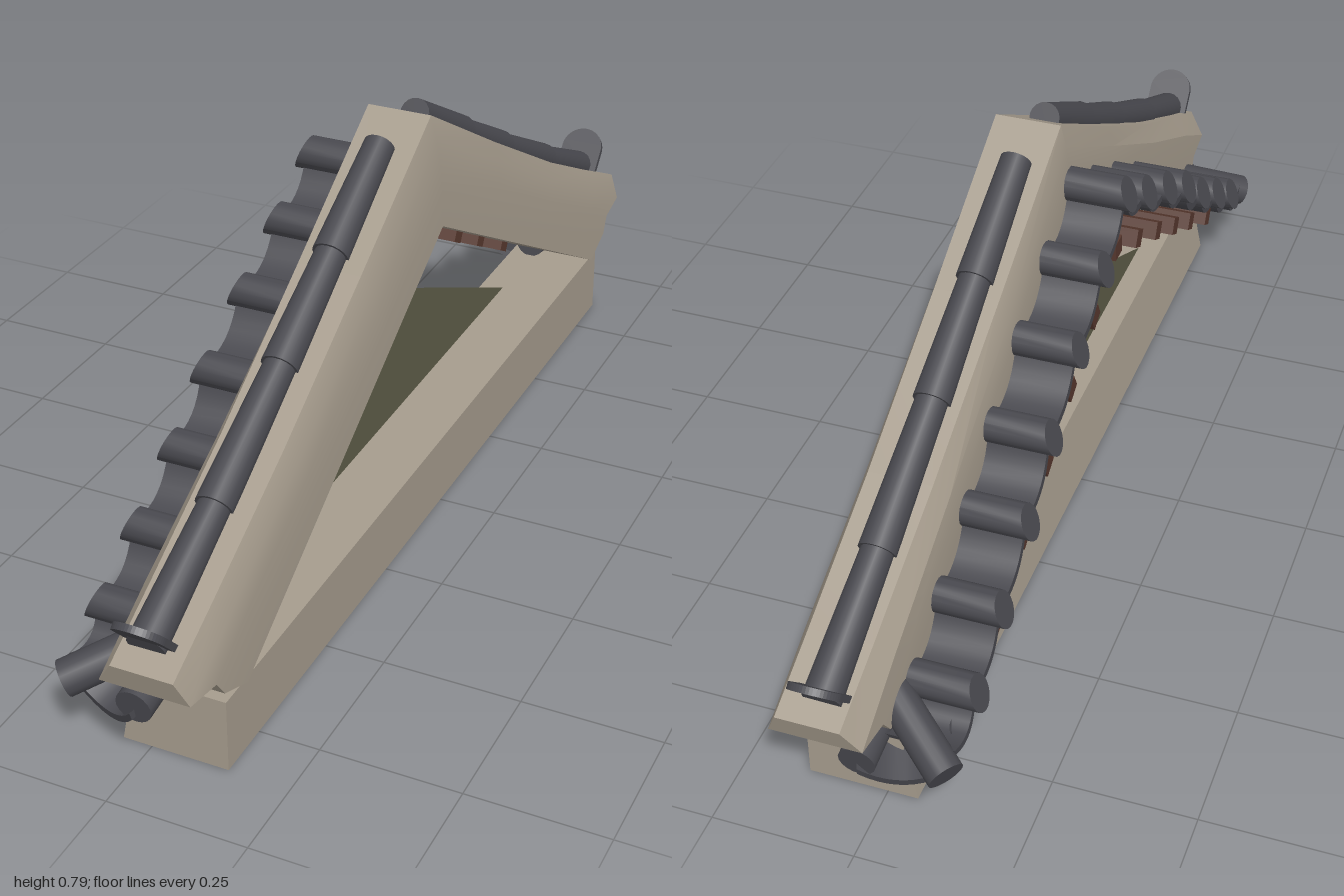
import * as THREE from 'three';
import { toCreasedNormals } from 'three/addons/utils/BufferGeometryUtils.js';

const mat = (name, color, side = THREE.FrontSide) =>
  Object.assign(new THREE.MeshStandardMaterial({ color, side }), { name });

export function createModel() {
  const plaster = mat('plaster', 0xa69c8d);
  const tile = mat('roof tile', 0x49494f);
  const wood = mat('rafter wood', 0x57382e);
  const panel = mat('gable panel', 0x5f5e49, THREE.DoubleSide);

  const model = new THREE.Group();
  model.name = 'gableRoof';
  const add = (name, geo, material) => {
    const mesh = new THREE.Mesh(geo, material);
    mesh.name = name;
    model.add(mesh);
    return mesh;
  };
  const V = (x, y, z) => new THREE.Vector3(x, y, z);
  const lerp = THREE.MathUtils.lerp;

  // Round bar from a to b
  const rod = (name, a, b, ra, rb = ra) => {
    const d = b.clone().sub(a);
    const mesh = add(name, new THREE.CylinderGeometry(rb, ra, d.length(), 18), tile);
    mesh.position.copy(a).add(b).multiplyScalar(0.5);
    mesh.quaternion.setFromUnitVectors(V(0, 1, 0), d.normalize());
    return mesh;
  };

  // Trough-shaped pan tile, extruded along local z
  const panGeometry = (w, sag, depth) => {
    const s = new THREE.Shape();
    s.moveTo(-w, 0);
    s.quadraticCurveTo(0, -2 * sag, w, 0);
    s.lineTo(w, 0.016);
    s.quadraticCurveTo(0, 0.016 - 2 * sag, -w, 0.016);
    const g = new THREE.ExtrudeGeometry(s, { depth, bevelEnabled: false, curveSegments: 10 });
    return toCreasedNormals(g, 0.6);
  };

  // Base beam with a battered outer face
  const baseShape = new THREE.Shape([[-0.053, 0], [0.14, 0], [0.14, 0.135], [-0.026, 0.135]]
    .map(p => new THREE.Vector2(...p)));
  const base = new THREE.ExtrudeGeometry(baseShape, { depth: 1.71, bevelEnabled: false });
  base.translate(0, 0, -0.855);
  add('baseBeam', base, plaster);

  // Triangular gable infill
  const tri = new THREE.Shape([[-0.62, 0.13], [0.62, 0.13], [0, 0.43]]
    .map(p => new THREE.Vector2(...p)));
  const triMesh = add('gablePanel', new THREE.ShapeGeometry(tri), panel);
  triMesh.rotation.y = Math.PI / 2;
  triMesh.position.x = 0.02;

  // Verge band: cross-sections lofted from eave to eave over the peak
  const rows = [0, 0.2, 0.45, 0.7, 1];
  const peakL = [-0.01, -0.02, -0.027, -0.028, -0.028], peakR = [0.11, 0.121, 0.13, 0.134, 0.136];
  const eaveL = [0.015, -0.015, -0.018, -0.02, -0.02], eaveR = [0.125, 0.145, 0.148, 0.15, 0.15];
  const eaveEnd = [[0.986, 0.26], [0.972, 0.214], [0.896, 0.203], [0.874, 0.171], [0.8, 0.14]];
  const top = [[0, 0.79], [0.3, 0.617], [0.6, 0.45], [0.85, 0.325], [0.986, 0.26]];
  const bottomZ = [0, 0.25, 0.5, 0.71];
  const topY = z => {
    const i = Math.max(1, top.findIndex(p => p[0] >= z));
    const [a, b] = [top[i - 1], top[i]];
    return lerp(a[1], b[1], (z - a[0]) / (b[0] - a[0]));
  };
  const pos = [], idx = [];
  for (let s = 4; s >= -4; s--) {
    const k = Math.abs(s), u = top[k][0] / 0.986;
    const pts = rows.map((f, r) => {
      const [z, y] = k === 4 ? eaveEnd[r] :
        [lerp(top[k][0], bottomZ[k], f), lerp(top[k][1], 0.58 - 0.55 * bottomZ[k], f)];
      return [lerp(peakL[r], eaveL[r], u), lerp(peakR[r], eaveR[r], u), y, z * Math.sign(s)];
    });
    pts.forEach(p => pos.push(p[0], p[2], p[3]));
    pts.reverse().forEach(p => pos.push(p[1], p[2], p[3]));
  }
  for (let i = 0; i < 8; i++) for (let j = 0; j < 10; j++) {
    const a = i * 10 + j, b = i * 10 + (j + 1) % 10;
    idx.push(a, a + 10, b + 10, a, b + 10, b);
  }
  for (let k = 0; k < 4; k++) {
    const q = [k, k + 1, 8 - k, 9 - k], e = q.map(v => v + 80);
    idx.push(q[0], q[1], q[2], q[0], q[2], q[3], e[0], e[2], e[1], e[0], e[3], e[2]);
  }
  const verge = new THREE.BufferGeometry();
  verge.setAttribute('position', new THREE.Float32BufferAttribute(pos, 3));
  verge.setIndex(idx);
  add('vergeBand', toCreasedNormals(verge, 0.4), plaster);

  // Cover tile with a slanted outer end, shared by the whole side row
  const cover = new THREE.CylinderGeometry(0.031, 0.031, 0.14, 18);
  cover.rotateZ(Math.PI / 2);
  cover.translate(-0.067, 0, 0);
  const cp = cover.attributes.position;
  for (let i = 0; i < cp.count; i++)
    if (cp.getX(i) < -0.1) cp.setX(i, cp.getX(i) + cp.getY(i) * 0.4);
  cover.computeVertexNormals();
  const coverGeo = toCreasedNormals(cover, 0.6);

  const rowZ = [0, 0.13, 0.27, 0.41, 0.53, 0.66, 0.78, 0.87];
  const rowY = [0.675, 0.6, 0.525, 0.442, 0.355, 0.275, 0.2, 0.155];
  const capZ = [0.075, 0.27, 0.47, 0.71, 0.95];
  const rafters = [[0, 0.557], [0.13, 0.495], [0.26, 0.43], [0.385, 0.362], [0.505, 0.298], [0.64, 0.225]];

  // Upright arched end plate
  const arch = new THREE.Shape();
  arch.moveTo(-0.044, 0);
  arch.lineTo(0.044, 0);
  arch.lineTo(0.044, 0.055);
  arch.absarc(0, 0.055, 0.044, 0, Math.PI, false);
  const archGeo = new THREE.ExtrudeGeometry(arch, { depth: 0.012, bevelEnabled: false });

  for (const s of [1, -1]) {
    // Ridge-style cap tiles running down the verge
    const cap = z => V(0.045 + 0.015 * z, topY(z) + 0.006, z * s);
    for (let i = 0; i < 4; i++)
      rod('capTile', cap(capZ[i]), cap(capZ[i + 1] + (i < 3 ? 0.01 : 0)), 0.028, 0.033);
    const plate = add('capEndPlate', archGeo, tile);
    plate.position.set(0.06, 0.283, 0.925 * s);
    plate.rotation.set(0.75, s > 0 ? 0 : Math.PI, 0, 'YXZ');

    // Side cover tiles with pan tiles between them
    for (let i = 0; i < 7; i++) {
      if (i > 0 || s > 0) add('coverTile', coverGeo, tile).position.set(0, rowY[i], rowZ[i] * s);
      const dz = rowZ[i + 1] - rowZ[i], dy = rowY[i + 1] - rowY[i];
      const geo = panGeometry(Math.hypot(dz, dy) / 2, 0.036, 0.125);
      geo.rotateZ(Math.atan2(dy, dz) * s);
      geo.rotateY(-Math.PI / 2);
      add('panTile', geo, tile)
        .position.set(-0.005, (rowY[i] + rowY[i + 1]) / 2 - 0.008, (rowZ[i] + rowZ[i + 1]) / 2 * s);
    }

    // Eave corner: diagonal tile, outward tile and the pan between
    rod('cornerTile', V(0, 0.195, 0.815 * s), V(-0.125, 0.132, 0.905 * s), 0.032);
    rod('eaveTile', V(0.017, 0.165, 0.78 * s), V(0.017, 0.14, 0.93 * s), 0.032);
    const cornerPan = add('cornerPan', panGeometry(0.075, 0.042, 0.12), tile);
    cornerPan.position.set(-0.015, 0.15, 0.8 * s);
    cornerPan.lookAt(-0.07, 0.105, 0.95 * s);

    // Exposed rafter ends
    for (const [z, y] of rafters) {
      if (z === 0 && s < 0) continue;
      const r = add('rafter', new THREE.BoxGeometry(0.13, 0.034, 0.036), wood);
      r.position.set(-0.055, y, z * s);
      r.rotation.x = z ? 0.5 * s : 0;
    }
  }
  return model;
}
